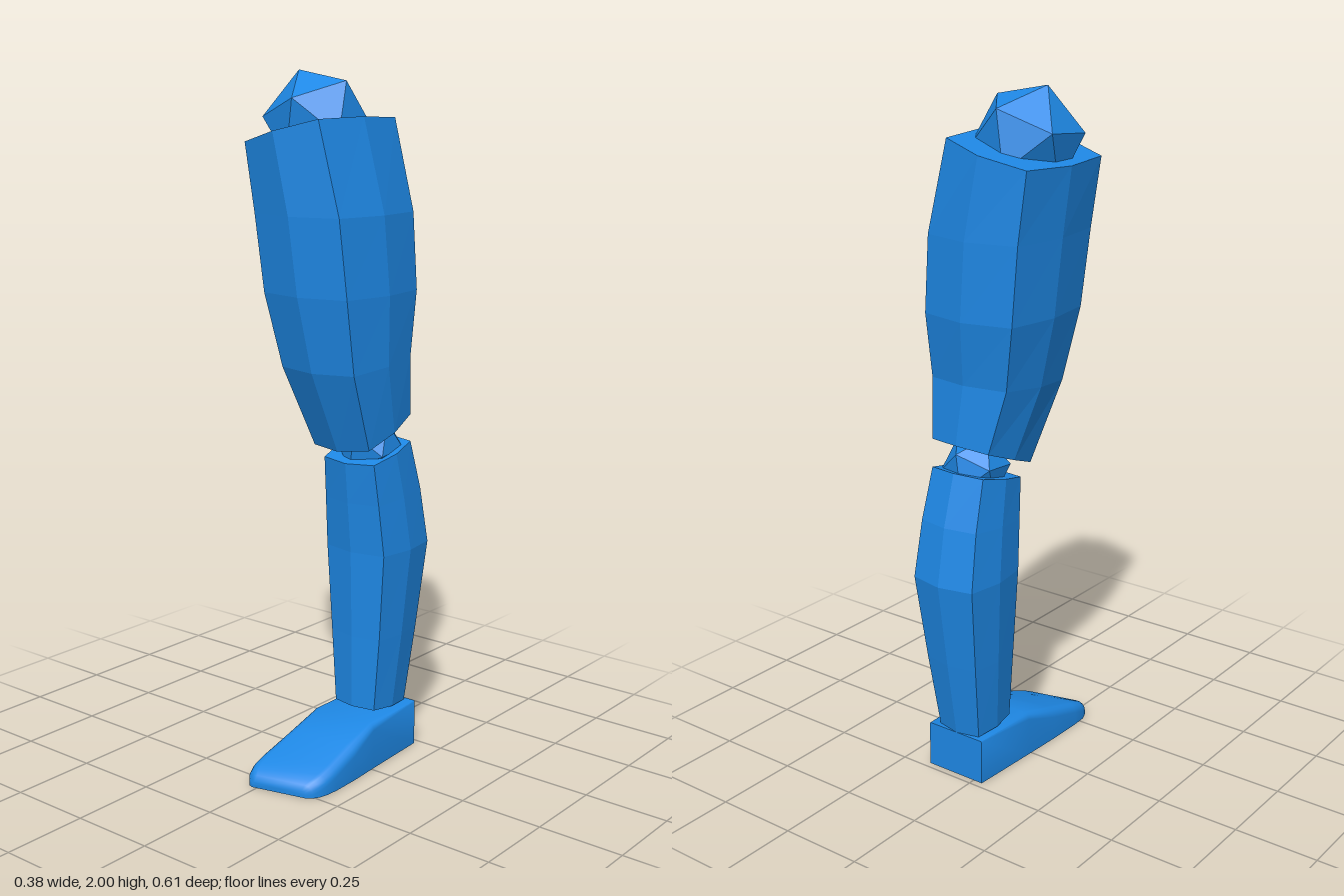
import * as THREE from 'three';
import { toCreasedNormals } from 'three/addons/utils/BufferGeometryUtils.js';

// Skin a list of closed rings (counter-clockwise about the loft direction) and cap both ends
function loft(rings) {
  const n = rings[0].length, pos = [];
  const tri = (...pts) => pts.forEach((p) => pos.push(p.x, p.y, p.z));
  const middle = (ring) => ring.reduce((s, p) => s.add(p), new THREE.Vector3()).divideScalar(n);
  const first = rings[0], last = rings[rings.length - 1];
  const c0 = middle(first), c1 = middle(last);
  for (let j = 0; j < n; j++) {
    const k = (j + 1) % n;
    for (let i = 0; i < rings.length - 1; i++) {
      const a = rings[i], b = rings[i + 1];
      tri(a[j], a[k], b[k]);
      tri(a[j], b[k], b[j]);
    }
    tri(c0, first[k], first[j]);
    tri(c1, last[j], last[k]);
  }
  const g = new THREE.BufferGeometry();
  g.setAttribute('position', new THREE.Float32BufferAttribute(pos, 3));
  g.computeVertexNormals();
  return g;
}

// Eight-sided limb section; tiltX and tiltZ slope the ring
const OCTAGON = [[0, 1], [0.86, 0.83], [1, 0], [0.86, -0.83], [0, -1], [-0.86, -0.83], [-1, 0], [-0.86, 0.83]];
function limbRing([y, xMin, xMax, zBack, zFront, tiltX = 0, tiltZ = 0]) {
  return OCTAGON.map(([u, v]) => new THREE.Vector3(
    (xMin + xMax) / 2 + u * (xMax - xMin) / 2,
    y + u * tiltX + v * tiltZ,
    (zBack + zFront) / 2 + v * (zFront - zBack) / 2));
}

// Foot section with rounded upper corners; the toe end is skewed in plan
function footRing([z, xMin, xMax, h, r]) {
  const pts = [[xMin, 0], [xMax, 0]];
  for (let i = 0; i <= 4; i++) {
    const a = i * Math.PI / 8;
    pts.push([xMax - r + r * Math.cos(a), h - r + r * Math.sin(a)]);
  }
  for (let i = 4; i <= 8; i++) {
    const a = i * Math.PI / 8;
    pts.push([xMin + r + r * Math.cos(a), h - r + r * Math.sin(a)]);
  }
  const skew = 0.25 * THREE.MathUtils.clamp((z + 0.01) / 0.25, 0, 1);
  return pts.map(([x, y]) => new THREE.Vector3(x, y, z - skew * (x - 0.07)));
}

export function createModel() {
  const leg = new THREE.Group();
  leg.name = 'leg';
  const faceted = new THREE.MeshStandardMaterial({ color: 0x1e88e5, flatShading: true });
  const smooth = new THREE.MeshStandardMaterial({ color: 0x1e88e5 });
  const add = (name, geometry, material = faceted) => {
    const mesh = new THREE.Mesh(geometry, material);
    mesh.name = name;
    leg.add(mesh);
    return mesh;
  };

  // Ball joints: low-poly icosahedra
  const xAxis = new THREE.Vector3(0.16, -0.03, -0.01).normalize();
  const zAxis = xAxis.clone().cross(new THREE.Vector3(0.05, 0.258, 0.02)).normalize();
  const basis = new THREE.Matrix4().makeBasis(xAxis, zAxis.clone().cross(xAxis), zAxis);
  for (const [name, r, x, y, z] of [
    ['hipJoint', 0.155, -0.04, 1.856, -0.02],
    ['kneeJoint', 0.1, 0.06, 0.94, -0.13],
  ]) {
    const joint = add(name, new THREE.IcosahedronGeometry(r, 0));
    joint.quaternion.setFromRotationMatrix(basis);
    joint.position.set(x, y, z);
  }

  // Thigh: y, xMin, xMax, zBack, zFront, tiltX, tiltZ
  add('thigh', loft([
    [0.985, -0.06, 0.17, -0.225, 0.01, 0.005, -0.045],
    [1.19, -0.115, 0.185, -0.215, 0.10, 0, -0.015],
    [1.39, -0.155, 0.19, -0.245, 0.14],
    [1.61, -0.175, 0.175, -0.247, 0.157],
    [1.838, -0.195, 0.11, -0.24, 0.17, 0.037, 0],
  ].map(limbRing)));

  // Shin and calf
  add('lowerLeg', loft([
    [0.145, -0.02, 0.147, -0.23, -0.05, 0, 0.007],
    [0.37, -0.04, 0.165, -0.267, -0.05],
    [0.63, -0.06, 0.183, -0.305, -0.045],
    [0.79, -0.053, 0.173, -0.275, -0.032, 0, -0.01],
    [0.925, -0.045, 0.165, -0.23, -0.02, 0, -0.025],
  ].map(limbRing)));

  // Foot: z, xMin, xMax, height, corner radius
  const foot = loft([
    [-0.23, -0.03, 0.165, 0.138, 0.004],
    [-0.01, -0.042, 0.178, 0.138, 0.02],
    [0.10, -0.048, 0.185, 0.103, 0.03],
    [0.20, -0.05, 0.187, 0.071, 0.03],
    [0.24, -0.048, 0.184, 0.057, 0.03],
    [0.265, -0.04, 0.177, 0.046, 0.028],
    [0.28, -0.028, 0.166, 0.035, 0.024],
    [0.288, -0.015, 0.152, 0.02, 0.014],
  ].map(footRing));
  add('foot', toCreasedNormals(foot, 0.6), smooth);

  return leg;
}
